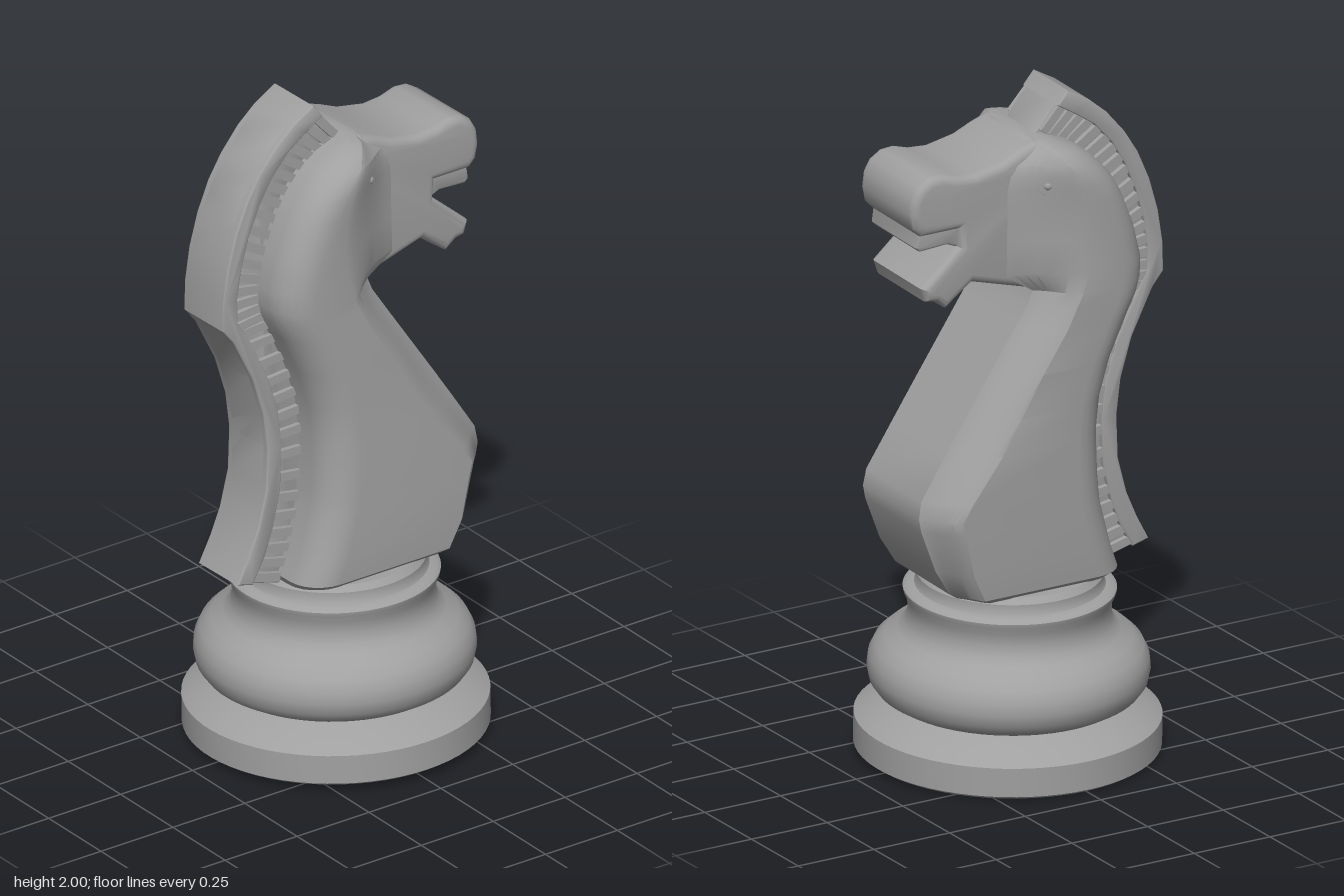
import * as THREE from 'three';
import { toCreasedNormals } from 'three/addons/utils/BufferGeometryUtils.js';

const stone = new THREE.MeshStandardMaterial({ color: 0xa0a0a0 });
stone.name = 'grey stone';

function add(parent, name, geometry) {
  const mesh = new THREE.Mesh(geometry, stone);
  mesh.name = name;
  parent.add(mesh);
  return mesh;
}

// Extrude a side outline given as [z, y] across the width, with rounded edges
function sideExtrude(outline, width, bevel) {
  const shape = new THREE.Shape(outline.map(([z, y]) => new THREE.Vector2(z, y)));
  const depth = width - 2 * bevel;
  const g = new THREE.ExtrudeGeometry(shape, {
    depth, bevelEnabled: true, bevelThickness: bevel, bevelSize: bevel,
    bevelOffset: -bevel, bevelSegments: 4,
  });
  g.translate(0, 0, -depth / 2);
  g.rotateY(-Math.PI / 2);
  return toCreasedNormals(g, 0.6);
}

// Neck slices: y, back z, start of front chamfer z, front z, half width, front half width
const slices = [
  [0.55, 0.24, -0.20, -0.26, 0.215, 0.14],
  [0.57, 0.25, -0.23, -0.29, 0.24, 0.145],
  [0.65, 0.22, -0.27, -0.34, 0.245, 0.15],
  [0.78, 0.185, -0.30, -0.39, 0.245, 0.15],
  [0.82, 0.18, -0.31, -0.398, 0.245, 0.15],
  [0.87, 0.175, -0.28, -0.39, 0.245, 0.147],
  [1.00, 0.17, -0.18, -0.308, 0.243, 0.145],
  [1.10, 0.18, -0.12, -0.243, 0.242, 0.145],
  [1.22, 0.215, -0.05, -0.164, 0.242, 0.145],
  [1.34, 0.27, 0.03, -0.085, 0.241, 0.145],
  [1.40, 0.30, 0.06, -0.046, 0.24, 0.145],
  [1.44, 0.31, 0.08, -0.03, 0.24, 0.145],
  [1.50, 0.31, 0.10, -0.12, 0.24, 0.144],
  [1.60, 0.285, 0.11, -0.12, 0.24, 0.144],
  [1.70, 0.245, 0.10, -0.12, 0.24, 0.144],
  [1.76, 0.21, 0.08, -0.12, 0.24, 0.144],
  [1.80, 0.175, 0.06, -0.12, 0.236, 0.14],
  [1.83, 0.145, 0.04, -0.115, 0.226, 0.13],
  [1.86, 0.10, 0.02, -0.07, 0.2, 0.115],
  [1.875, 0.06, 0.0, -0.04, 0.17, 0.11],
  [1.885, 0.03, -0.005, -0.025, 0.14, 0.1],
];

// Outline of one slice: rounded back corner, flat side, softened chamfer, flat front
function sliceOutline([, back, cham, front, w, wf]) {
  const half = [];
  const r = Math.min(0.1, back - cham - 0.005);
  for (let i = 0; i <= 6; i++) {
    const a = (i / 6) * Math.PI / 2;
    half.push([w - r + r * Math.sin(a), back - r + r * Math.cos(a)]);
  }
  for (let i = 0; i <= 8; i++) {
    const t = i / 8;
    const s = 0.5 * t + 0.5 * t * t * (3 - 2 * t);
    half.push([w + (wf - w) * s, cham + (front - cham) * t]);
  }
  return [...half, ...half.map(([x, z]) => [-x, z]).reverse()];
}

function neckGeometry() {
  const pos = [], index = [];
  let n = 0;
  for (const s of slices) {
    const ring = sliceOutline(s);
    n = ring.length;
    for (const [x, z] of ring) pos.push(x, s[0], z);
  }
  const top = slices.length - 1, c0 = pos.length / 3;
  pos.push(0, slices[0][0], 0, 0, slices[top][0], 0);
  for (let i = 0; i < n; i++) {
    const k = (i + 1) % n;
    for (let j = 0; j < top; j++) {
      const a = j * n + i, b = j * n + k;
      index.push(a, b, b + n, a, b + n, a + n);
    }
    index.push(c0, k, i, c0 + 1, top * n + i, top * n + k);
  }
  const g = new THREE.BufferGeometry();
  g.setAttribute('position', new THREE.Float32BufferAttribute(pos, 3));
  g.setIndex(index);
  return toCreasedNormals(g, 0.55);
}

// Mane: matching outer and inner points [outer z, y, inner z, y]
const mane = [
  [0.11, 2.0, 0.03, 1.905], [0.18, 1.96, 0.08, 1.87], [0.24, 1.91, 0.14, 1.84],
  [0.30, 1.84, 0.20, 1.78], [0.345, 1.77, 0.24, 1.71], [0.385, 1.68, 0.28, 1.62],
  [0.415, 1.58, 0.305, 1.53], [0.432, 1.48, 0.315, 1.47], [0.436, 1.39, 0.31, 1.41],
  [0.40, 1.345, 0.28, 1.35], [0.335, 1.21, 0.22, 1.22], [0.30, 1.09, 0.18, 1.10],
  [0.288, 0.98, 0.17, 0.98], [0.295, 0.85, 0.178, 0.83], [0.325, 0.74, 0.20, 0.72],
  [0.36, 0.66, 0.225, 0.63], [0.40, 0.585, 0.275, 0.55],
];

const across = ([zo, yo, zi, yi], t) => [zo + (zi - zo) * t, yo + (yi - yo) * t];
const maneBand = (t) => [...mane.map((p) => across(p, 0)), ...mane.map((p) => across(p, t)).reverse()];

function maneAt(u) {
  const f = u * (mane.length - 1), i = Math.min(Math.floor(f), mane.length - 2);
  return mane[i].map((v, k) => v + (mane[i + 1][k] - v) * (f - i));
}

export function createModel() {
  const model = new THREE.Group();
  model.name = 'chessKnight';

  // Turned base
  const profile = [
    [0, 0.012], [0.42, 0.012], [0.435, 0.022], [0.435, 0.108], [0.41, 0.125], [0.36, 0.15],
    [0.325, 0.166], [0.345, 0.172], [0.375, 0.19], [0.393, 0.215], [0.4, 0.25], [0.396, 0.285],
    [0.38, 0.318], [0.35, 0.345], [0.315, 0.367], [0.295, 0.388], [0.287, 0.42], [0.289, 0.455],
    [0.3, 0.478], [0.302, 0.49], [0.29, 0.5], [0.27, 0.503], [0.264, 0.515], [0.264, 0.535],
    [0.25, 0.553], [0, 0.555],
  ].map(([r, y]) => new THREE.Vector2(r, y));
  add(model, 'base', toCreasedNormals(new THREE.LatheGeometry(profile, 64), 0.6));

  // Neck and chest
  add(model, 'neck', neckGeometry());

  // Head with open mouth
  add(model, 'head', sideExtrude([
    [0.08, 1.84], [-0.02, 1.885], [-0.07, 1.868], [-0.13, 1.842], [-0.22, 1.825], [-0.28, 1.83],
    [-0.33, 1.845], [-0.37, 1.842], [-0.405, 1.82], [-0.425, 1.785], [-0.43, 1.74], [-0.42, 1.695],
    [-0.395, 1.67], [-0.275, 1.67], [-0.27, 1.615], [-0.39, 1.51], [-0.375, 1.468], [-0.345, 1.463],
    [-0.31, 1.437], [-0.225, 1.5], [-0.02, 1.44], [0.08, 1.46],
  ], 0.29, 0.025));

  // Upper teeth
  add(model, 'teeth', sideExtrude([
    [-0.24, 1.69], [-0.395, 1.69], [-0.402, 1.632], [-0.39, 1.62], [-0.3, 1.625], [-0.24, 1.6],
  ], 0.25, 0.01));

  // Mane core, raised outer strip and ribs
  add(model, 'maneCore', sideExtrude(maneBand(1.35), 0.155, 0.004));
  add(model, 'maneStrip', sideExtrude(maneBand(0.42), 0.19, 0.006));
  const ribs = new THREE.Group();
  ribs.name = 'maneRibs';
  model.add(ribs);
  const count = 32;
  for (let i = 0; i < count; i++) {
    const p = maneAt((i + 0.5) / count);
    const [z0, y0] = across(p, 0.38), [z1, y1] = across(p, 1.1);
    const rib = add(ribs, 'maneRib', new THREE.BoxGeometry(0.184, 0.026, Math.hypot(z1 - z0, y1 - y0)));
    rib.position.set(0, (y0 + y1) / 2, (z0 + z1) / 2);
    rib.rotation.x = -Math.atan2(y0 - y1, z0 - z1);
  }

  // Eyes: a ring around a small ball on each cheek
  for (const side of [-1, 1]) {
    const eye = new THREE.Group();
    eye.name = side > 0 ? 'leftEye' : 'rightEye';
    eye.position.set(side * 0.187, 1.77, -0.01);
    eye.rotation.y = side * (Math.PI / 2 + 0.45);
    add(eye, 'eyeRim', new THREE.TorusGeometry(0.026, 0.008, 10, 28));
    add(eye, 'eyeball', new THREE.SphereGeometry(0.015, 16, 12));
    model.add(eye);
  }

  // The whole piece leans slightly to one side
  model.rotation.z = 0.026;
  const root = new THREE.Group();
  root.name = 'knightPiece';
  root.add(model);
  return root;
}
